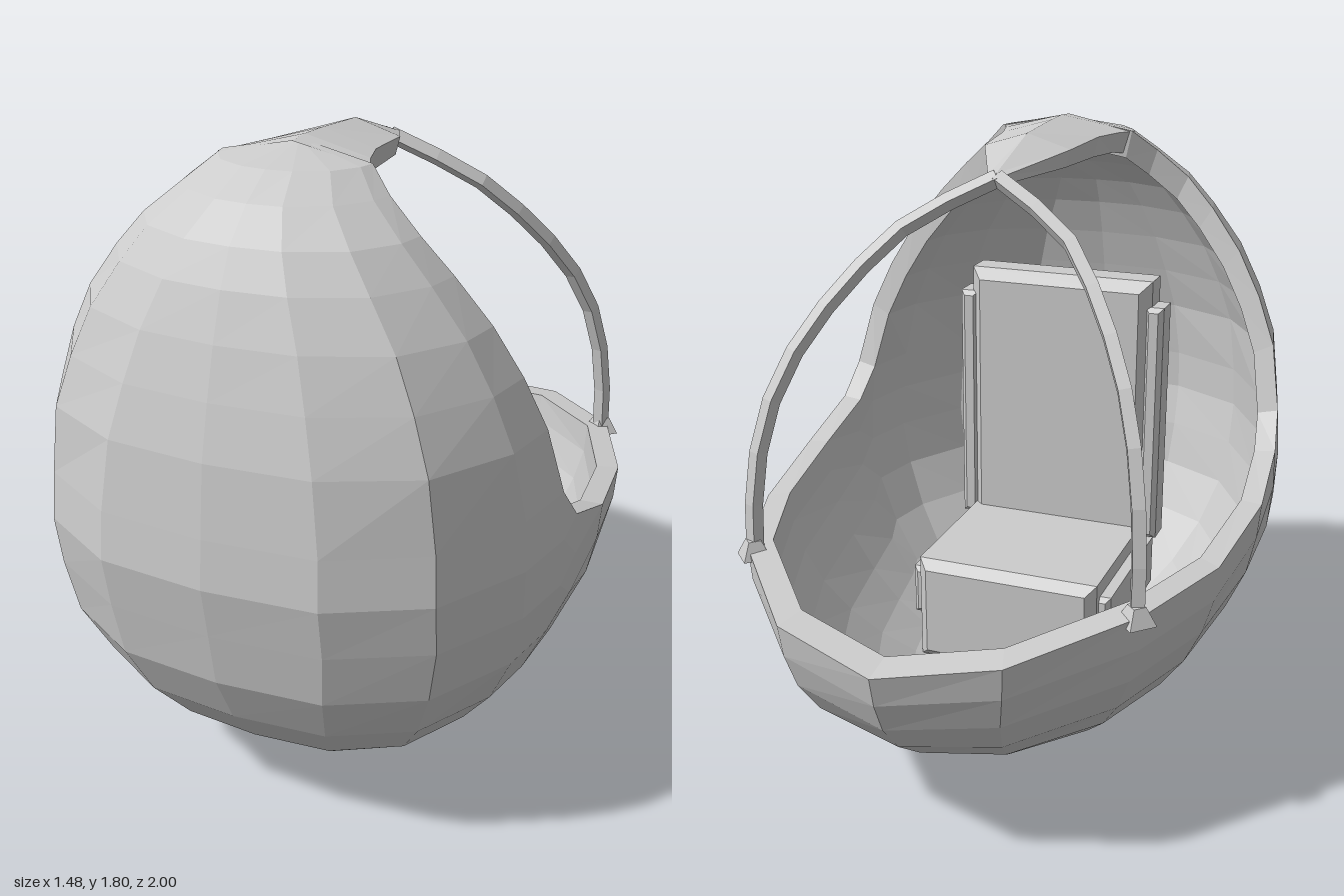
import * as THREE from 'three';

const grey = new THREE.MeshStandardMaterial({ color: 0xcccccc, flatShading: true, side: THREE.DoubleSide });

// Piecewise linear lookup in a list of [y, value]
function look(list, y) {
  if (y <= list[0][0]) return list[0][1];
  for (let i = 1; i < list.length; i++) {
    const [y0, v0] = list[i - 1], [y1, v1] = list[i];
    if (y <= y1) return v0 + (v1 - v0) * (y - y0) / (y1 - y0);
  }
  return list[list.length - 1][1];
}

// Egg profiles by height: half width, front, back, section centre, rim and squareness
const WIDTH = [[0, 0], [.02, .14], [.06, .28], [.12, .39], [.22, .51], [.36, .62], [.5, .69], [.6, .725],
  [.77, .74], [.97, .725], [1.15, .68], [1.33, .6], [1.48, .5], [1.63, .36], [1.76, .21]];
const FRONT = [[0, .07], [.02, .35], [.06, .5], [.14, .65], [.24, .77], [.36, .87], [.52, .95], [.83, 1],
  [1.14, .96], [1.37, .9], [1.53, .84], [1.66, .77], [1.76, .61]];
const BACK = [[0, .07], [.02, -.2], [.06, -.35], [.12, -.5], [.2, -.65], [.3, -.8], [.39, -.9], [.5, -.97], [.63, -1]];
const CENTRE = [[.95, .07], [1.15, .3], [1.4, .45], [1.62, .5], [1.76, .42]];
const RIM = [[.95, .38], [1.14, .44], [1.37, .49], [1.53, .52], [1.62, .53], [1.7, .5], [1.76, .45]];
const POWER = [[.95, 2.9], [1.7, 2.2]];

// Columns round half the egg, and the height of the lower bowl's edge at each
const ANGLES = [0, 16, 40.5, 64.5, 77.5, 82.3, 90, 109, 128.8, 155, 180].map(THREE.MathUtils.degToRad);
const EDGE = [.95, .95, .95, .95, .95, .85, .77, .72, .71, .665, .63];
const LAST = 4;

// A point on the egg at angle a and height y
function eggPoint(a, y) {
  const c = Math.cos(a), s = Math.max(0, Math.sin(a));
  const n = c > 0 ? look(POWER, y) : 2;
  const zc = look(CENTRE, y);
  const reach = c > 0 ? look(FRONT, y) - zc : zc - look(BACK, y);
  return new THREE.Vector3(
    look(WIDTH, y) * Math.pow(s, 2 / n), y,
    zc + Math.sign(c) * reach * Math.pow(Math.abs(c), 2 / n));
}

// Full row mirrored from one half (front centre first)
function mirrorRow(half) {
  const left = half.slice(1).reverse().map(p => new THREE.Vector3(-p.x, p.y, p.z));
  return [...left, ...half];
}

// Surface through rows of points
function sheet(rows, flip = false) {
  const pos = [], index = [], n = rows[0].length;
  rows.forEach(r => r.forEach(p => pos.push(p.x, p.y, p.z)));
  for (let i = 0; i < rows.length - 1; i++) for (let j = 0; j < n - 1; j++) {
    const a = i * n + j, b = a + 1, c = b + n, d = a + n;
    if (flip) index.push(a, c, b, a, d, c);
    else index.push(a, b, c, a, c, d);
  }
  const g = new THREE.BufferGeometry();
  g.setAttribute('position', new THREE.Float32BufferAttribute(pos, 3));
  g.setIndex(index);
  g.computeVertexNormals();
  return g;
}

// Inner skin: shrink towards the axis
const INNER_Z = [[.7, .07], [1, .38], [1.8, .48]];
function inward(p) {
  const cz = look(INNER_Z, p.y), k = .915;
  return new THREE.Vector3(p.x * k, .8 + (p.y - .8) * k, cz + (p.z - cz) * k);
}

// Box with a single flat chamfer
function chamferBox(w, h, d, b) {
  const s = new THREE.Shape();
  const x = w / 2 - b, y = h / 2 - b;
  s.moveTo(-x, -y).lineTo(x, -y).lineTo(x, y).lineTo(-x, y).closePath();
  const g = new THREE.ExtrudeGeometry(s, { depth: d - 2 * b, bevelEnabled: true, bevelSize: b, bevelThickness: b, bevelSegments: 1 });
  return g.translate(0, 0, b - d / 2);
}

export function createModel() {
  const group = new THREE.Group();
  const add = (name, geometry, x = 0, y = 0, z = 0) => {
    const m = new THREE.Mesh(geometry, grey);
    m.name = name;
    m.position.set(x, y, z);
    group.add(m);
    return m;
  };

  // Lower bowl rows run all the way round
  const lower = [0, .02, .065, .14, .25, .39, .55, .71, .86, 1].map(f =>
    mirrorRow(ANGLES.map((a, j) => eggPoint(a, EDGE[j] * f))));

  // Hood rows stop at the rim of the opening and close at the crown
  const hood = [.95, 1.14, 1.28, 1.41, 1.53, 1.62, 1.7, 1.76].map(y => {
    const zc = look(CENTRE, y);
    const t = Math.max(0, (look(RIM, y) - zc) / (look(FRONT, y) - zc));
    const end = Math.acos(Math.pow(t, look(POWER, y) / 2));
    return mirrorRow(ANGLES.slice(0, LAST + 1).map(a => eggPoint(a * end / ANGLES[LAST], y)));
  });
  hood[0] = mirrorRow(ANGLES.slice(0, LAST + 1).map(a => eggPoint(a, .95)));
  hood.push(hood[0].map(() => new THREE.Vector3(0, 1.8, .43)));

  for (const [part, rows] of [['Bowl', lower], ['Hood', hood]]) {
    add('outer' + part, sheet(rows));
    add('inner' + part, sheet(rows.map(r => r.map(inward)), true));
  }

  // Rim joining the two skins along the opening
  const top = lower[lower.length - 1], mid = ANGLES.length - 1;
  const rim = [
    ...hood.slice(1).reverse().map(r => r[r.length - 1]),
    ...top.slice(mid + LAST),
    ...top.slice(1, mid - LAST + 1),
    ...hood.slice(1).map(r => r[0])];
  add('openingRim', sheet([rim, rim.map(inward)]));

  // Ridged strap reaching back from the crown: z, half width, ridge, edge, underside
  const strap = [[.47, .21, 1.8, 1.757, 1.69], [.4, .18, 1.805, 1.76, 1.7], [.3, .15, 1.802, 1.76, 1.7],
    [.1, .13, 1.79, 1.75, 1.7], [-.14, .025, 1.715, 1.71, 1.685]]
    .map(([z, h, r, e, u]) => [[0, r], [h, e], [h * .9, u], [-h * .9, u], [-h, e], [0, r]]
      .map(([x, y]) => new THREE.Vector3(x, y, z)));
  strap.push(strap[4].map(() => new THREE.Vector3(0, 1.7, -.14)));
  add('crownStrap', sheet(strap, true));

  // Pair of curved struts from strap to bowl edge, with flared feet
  for (const s of [1, -1]) {
    const path = new THREE.CatmullRomCurve3([[0, 1.7, -.13], [.23, 1.575, -.225], [.36, 1.43, -.34], [.46, 1.27, -.45],
      [.52, 1.1, -.53], [.55, .9, -.575], [.555, .69, -.59]].map(([x, y, z]) => new THREE.Vector3(s * x, y, z)));
    add(s > 0 ? 'leftStrut' : 'rightStrut', new THREE.TubeGeometry(path, 9, .025, 4));
    add('strutFoot', new THREE.CylinderGeometry(.025, .055, .05, 4), s * .555, .71, -.595);
  }

  // Seat
  add('seatCushion', chamferBox(.58, .34, .56, .03), 0, .32, .18);
  add('backrest', chamferBox(.6, .86, .16, .035), 0, .88, .46);
  for (const s of [1, -1]) {
    add('backrestBolster', chamferBox(.06, .78, .11, .015), s * .31, .84, .45);
    add('seatBolster', chamferBox(.05, .16, .5, .015), s * .3, .36, .2);
  }
  return group;
}
